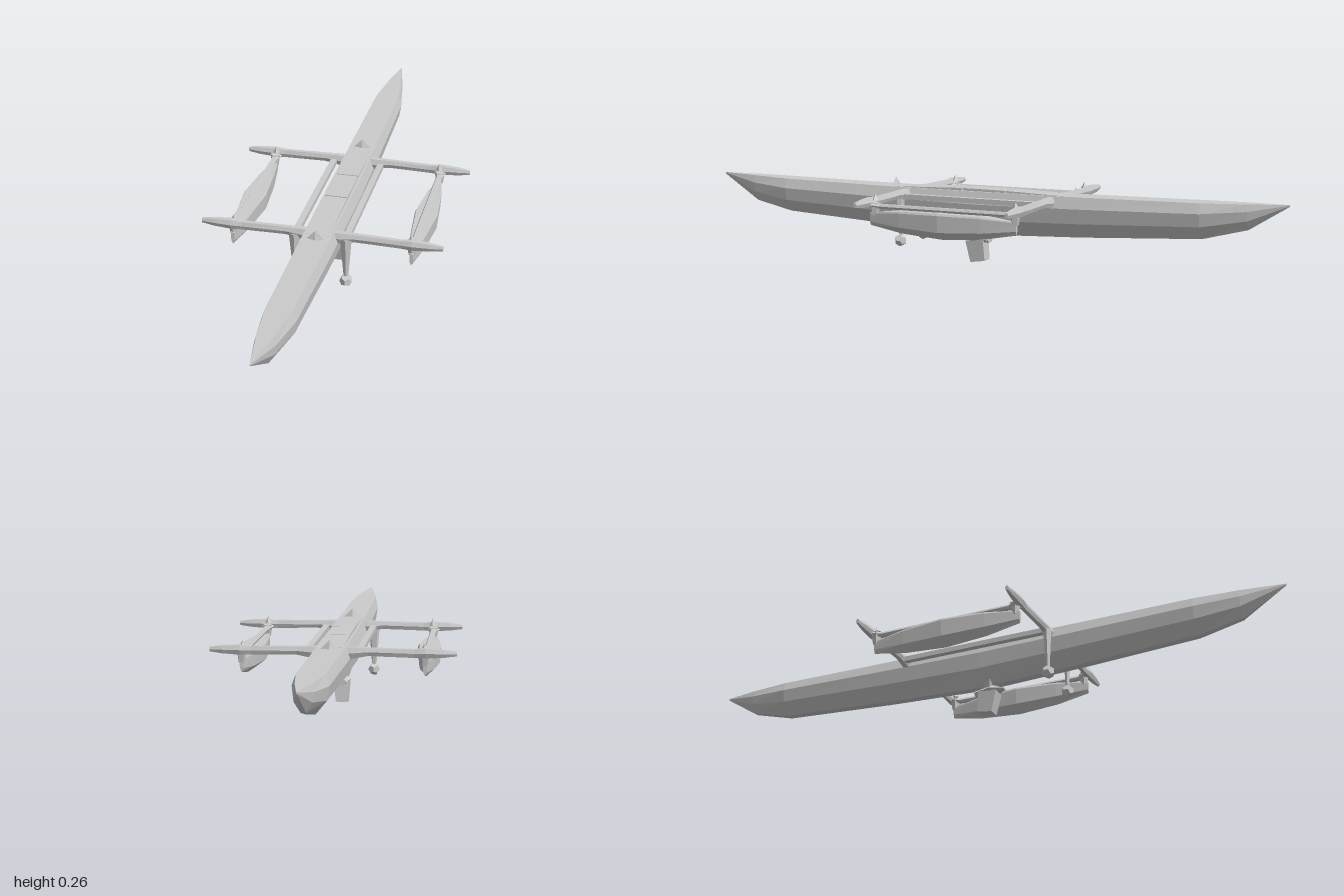
import * as THREE from 'three';

const material = new THREE.MeshStandardMaterial({ color: 0xcccccc, flatShading: true });

// Skins a unit profile (x -1..1, y 0..1, counter-clockwise) along z.
// Each station is [z, half width, bottom y, top y, x shift].
function loft(profile, stations) {
  const pos = [], n = profile.length;
  const rings = stations.map(([z, w, lo, hi, dx = 0]) =>
    profile.map(([x, y]) => [dx + x * w, lo + y * (hi - lo), z]));
  const tri = (a, b, c) => pos.push(...a, ...b, ...c);
  for (let i = 0; i < rings.length - 1; i++) {
    for (let j = 0; j < n; j++) {
      const k = (j + 1) % n;
      tri(rings[i][j], rings[i][k], rings[i + 1][j]);
      tri(rings[i][k], rings[i + 1][k], rings[i + 1][j]);
    }
  }
  const last = rings[rings.length - 1];
  for (let j = 1; j < n - 1; j++) {
    tri(rings[0][0], rings[0][j + 1], rings[0][j]);
    tri(last[0], last[j], last[j + 1]);
  }
  const g = new THREE.BufferGeometry();
  g.setAttribute('position', new THREE.Float32BufferAttribute(pos, 3));
  g.computeVertexNormals();
  return g;
}

const HULL = [[0.78, 1], [-0.78, 1], [-1, 0.72], [-0.88, 0.36], [-0.25, 0], [0.25, 0], [0.88, 0.36], [1, 0.72]];
const FLOAT = [[0.9, 1], [-0.9, 1], [-1, 0.92], [-0.92, 0.3], [0, 0], [0.92, 0.3], [1, 0.92]];
const BAR = [[0.6, 1], [-0.6, 1], [-1, 0.5], [-0.6, 0], [0.6, 0], [1, 0.5]];
const BOX = [[1, 1], [-1, 1], [-1, 0], [1, 0]];

export function createModel() {
  const model = new THREE.Group();
  const add = (name, geometry, x = 0, y = 0, z = 0) => {
    const mesh = new THREE.Mesh(geometry, material);
    mesh.name = name;
    mesh.position.set(x, y, z);
    model.add(mesh);
    return mesh;
  };

  // Long slender hull, pointed at both ends
  add('hull', loft(HULL, [
    [-1, 0.001, 0.238, 0.243], [-0.88, 0.029, 0.162, 0.241], [-0.74, 0.052, 0.126, 0.238],
    [-0.35, 0.056, 0.104, 0.234], [0, 0.058, 0.09, 0.233], [0.35, 0.056, 0.104, 0.234],
    [0.72, 0.05, 0.124, 0.238], [0.86, 0.031, 0.153, 0.241], [1, 0.001, 0.238, 0.243],
  ]));

  // Raised deck hatches separated by narrow seams
  for (const [a, b] of [[-0.3, -0.105], [-0.1, 0.05], [0.055, 0.29]]) {
    const edge = z => 0.243 - Math.abs(z) * 0.03;
    add('deckHatch', loft(BOX, [[a, 0.037, 0.225, edge(a)], [b, 0.037, 0.225, edge(b)]]));
  }

  // Small pointed fins on the deck
  for (const z of [0.315, -0.325]) {
    const fin = add('deckFin', new THREE.ConeGeometry(0.03, 0.03, 4), 0, 0.247, z);
    fin.scale.z = 0.3;
  }

  // Cross beams, thick at the roots and at the float brackets
  for (const z of [0.25, -0.26]) {
    const half = [[0.06, 0.015, 0.195, 0.23], [0.11, 0.012, 0.204, 0.229], [0.25, 0.01, 0.201, 0.227],
      [0.285, 0.014, 0.2, 0.23], [0.34, 0.011, 0.203, 0.227], [0.38, 0.006, 0.208, 0.222]];
    const stations = [...half.map(([x, ...s]) => [-x, ...s]).reverse(), ...half];
    add(z > 0 ? 'frontBeam' : 'rearBeam', loft(BAR, stations), 0, 0, z).rotation.y = Math.PI / 2;
  }

  for (const side of [-1, 1]) {
    // Outrigger float with a V keel and narrow blunt ends
    add('float', loft(FLOAT, [
      [-0.25, 0.006, 0.142, 0.182], [-0.14, 0.024, 0.122, 0.193], [0, 0.037, 0.112, 0.197],
      [0.14, 0.024, 0.122, 0.193], [0.25, 0.006, 0.142, 0.182],
    ]), side * 0.283);

    // Rail joining the beams above the float, flared at its ends
    add('floatRail', loft(BAR, [
      [-0.26, 0.024, 0.2, 0.218], [-0.225, 0.01, 0.196, 0.21], [0.215, 0.01, 0.196, 0.21], [0.25, 0.026, 0.2, 0.218],
    ]), side * 0.283);

    for (const z of [0.235, -0.245]) {
      add('floatBracket', new THREE.CylinderGeometry(0.018, 0.011, 0.04, 5), side * 0.283, 0.193, z);
      add('bracketPeg', new THREE.ConeGeometry(0.012, 0.022, 4), side * 0.28, 0.231, z);
    }

    // Slim rail beside the hull
    add('hullRail', new THREE.BoxGeometry(0.02, 0.016, 0.52), side * 0.08, 0.209, 0);

    // Tapered leg with a faceted foot
    const leg = add('leg', new THREE.CylinderGeometry(0.019, 0.007, 0.14, 5), side * 0.081, 0.14, 0.255);
    leg.scale.z = 0.7;
    add('foot', new THREE.DodecahedronGeometry(0.021), side * 0.081, 0.064, 0.255);
  }

  // Pod under the hull: neck, collar and tapered body
  add('podNeck', new THREE.CylinderGeometry(0.03, 0.018, 0.035, 5), 0, 0.09, 0.02);
  add('podCollar', loft(BAR, [
    [-0.03, 0.018, 0.064, 0.082], [0.03, 0.032, 0.066, 0.086], [0.07, 0.008, 0.073, 0.08],
  ]));
  const body = add('podBody', new THREE.CylinderGeometry(0.033, 0.027, 0.072, 4, 1, false, Math.PI / 4), 0, 0.037, 0.012);
  body.rotation.x = 0.15;
  body.scale.z = 1.35;

  return model;
}
